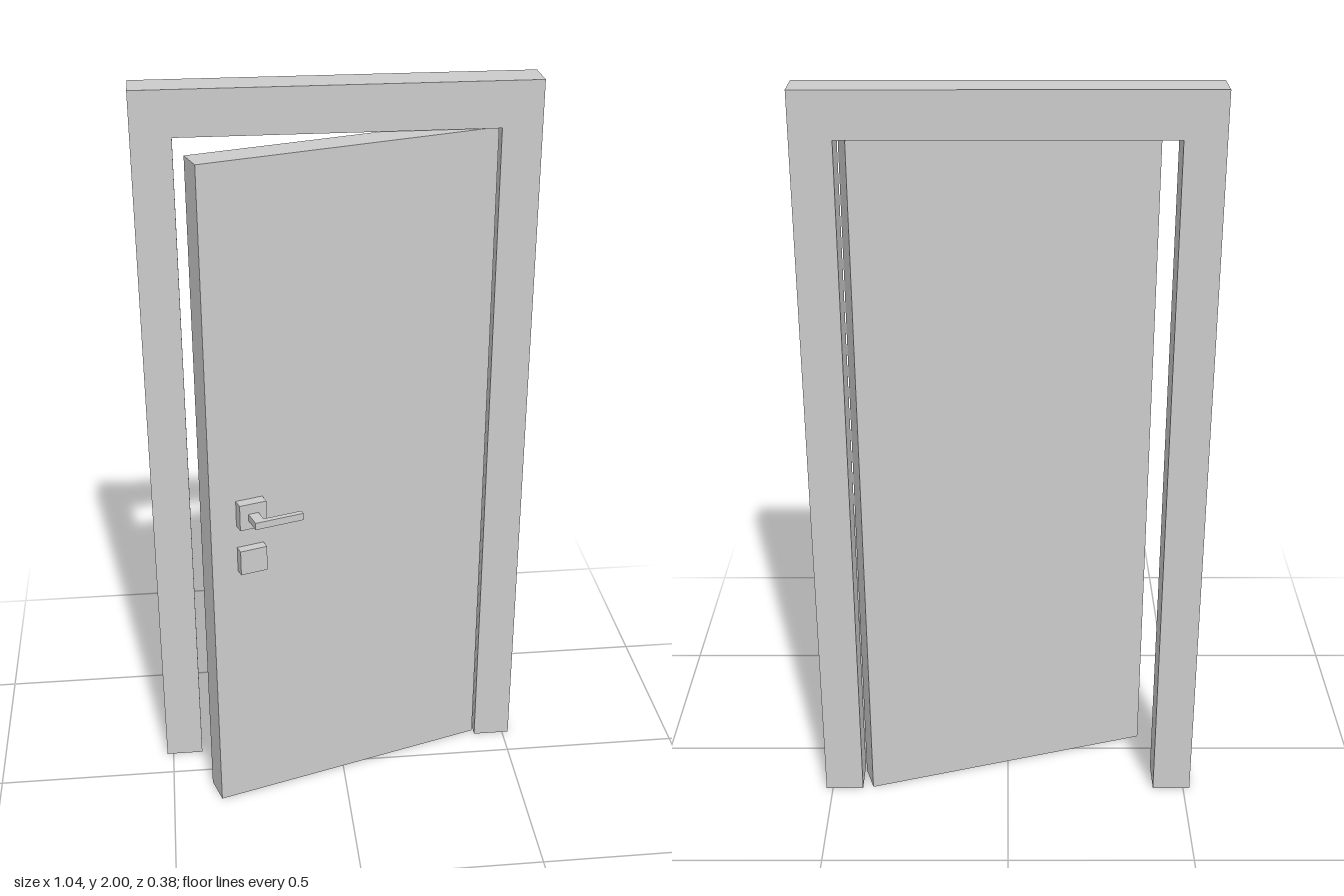
import * as THREE from 'three';

const material = new THREE.MeshStandardMaterial({ color: 0xcccccc, side: THREE.DoubleSide });

function part(name, geometry, parent) {
  const mesh = new THREE.Mesh(geometry, material);
  mesh.name = name;
  parent.add(mesh);
  return mesh;
}

// Box given by its lower and upper corners
function boxBetween([x0, y0, z0], [x1, y1, z1]) {
  return new THREE.BoxGeometry(x1 - x0, y1 - y0, z1 - z0)
    .translate((x0 + x1) / 2, (y0 + y1) / 2, (z0 + z1) / 2);
}

// Removes the faces lying on the ground, leaving the hollow bottom open
function openBottom(geometry) {
  const g = geometry.index ? geometry.toNonIndexed() : geometry;
  const pos = g.attributes.position;
  const keep = [];
  for (let i = 0; i < pos.count; i += 3) {
    const onGround = [0, 1, 2].every(k => Math.abs(pos.getY(i + k)) < 1e-5);
    if (!onGround) keep.push(i, i + 1, i + 2);
  }
  g.setIndex(keep);
  g.clearGroups();
  return g;
}

function extrude(points, depth) {
  const shape = new THREE.Shape(points.map(([x, y]) => new THREE.Vector2(x, y)));
  return new THREE.ExtrudeGeometry(shape, { depth, bevelEnabled: false });
}

export function createModel() {
  const model = new THREE.Group();
  model.name = 'door';

  // Frame: two jambs and a header in one piece
  const W = 0.518, w = 0.414, top = 1.88;
  const frame = extrude([
    [-W, 0], [-w, 0], [-w, top], [w, top], [w, 0], [W, 0], [W, 2], [-W, 2],
  ], 0.103).translate(0, 0, -0.19);
  part('frame', openBottom(frame), model);

  // Leaf swung open; its origin is the free edge of the front face
  const leaf = new THREE.Group();
  leaf.name = 'leaf';
  leaf.position.set(-0.363, 0, 0.138);
  leaf.rotation.y = 0.305;
  model.add(leaf);
  part('panel', openBottom(boxBetween([0, 0, -0.082], [0.81, 1.878, 0])), leaf);

  // Square plates for handle and lock
  part('handlePlate', boxBetween([0.072, 0.888, 0], [0.147, 0.962, 0.03]), leaf);
  part('lockPlate', boxBetween([0.072, 0.75, 0], [0.147, 0.822, 0.026]), leaf);

  // L-shaped lever, drawn in plan and extruded upward
  const lever = extrude([
    [0.096, -0.03], [0.124, -0.03], [0.124, -0.067], [0.231, -0.067], [0.231, -0.082], [0.096, -0.082],
  ].reverse(), 0.02);
  lever.rotateX(-Math.PI / 2).translate(0, 0.913, 0);
  part('lever', lever, leaf);

  return model;
}
